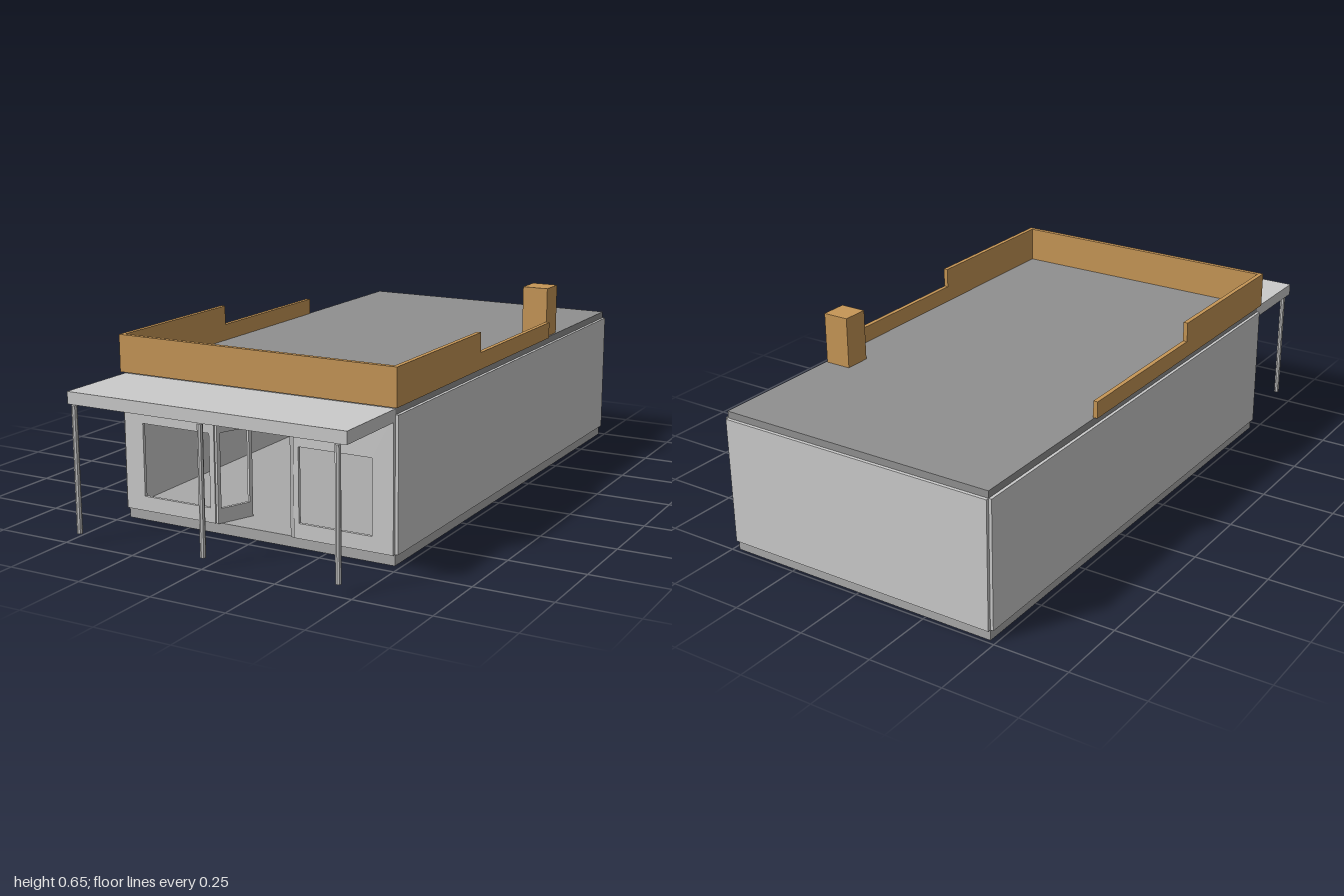
import * as THREE from 'three';

const paint = (color) => new THREE.MeshStandardMaterial({ color, flatShading: true });

export function createModel() {
  const model = new THREE.Group();
  const grey = paint(0xcccccc), roofGrey = paint(0x909090), baseGrey = paint(0xaaaaaa), tan = paint(0xc69656);

  const add = (name, geometry, material, parent = model) => {
    const mesh = new THREE.Mesh(geometry, material);
    mesh.name = name;
    parent.add(mesh);
    return mesh;
  };
  // Box given by its extents on each axis
  const box = (name, [x0, x1], [y0, y1], [z0, z1], material = grey) => {
    const mesh = add(name, new THREE.BoxGeometry(x1 - x0, y1 - y0, z1 - z0), material);
    mesh.position.set((x0 + x1) / 2, (y0 + y1) / 2, (z0 + z1) / 2);
    return mesh;
  };
  // Upright wall panel with one rectangular window, extruded along z
  const windowWall = (name, [x0, x1], [y0, y1], [u0, u1], [v0, v1], depth) => {
    const rect = (a, b, c, d) => [[a, c], [b, c], [b, d], [a, d]].map((p) => new THREE.Vector2(...p));
    const shape = new THREE.Shape(rect(x0, x1, y0, y1));
    shape.holes.push(new THREE.Path(rect(u0, u1, v0, v1).reverse()));
    return add(name, new THREE.ExtrudeGeometry(shape, { depth, bevelEnabled: false }), grey);
  };

  const wallY = [0.035, 0.457], back = -0.987, front = 0.705, t = 0.011;

  // Floor and roof slabs
  box('floorSlab', [-0.48, 0.48], [0, 0.035], [back, front], baseGrey);
  box('roofSlab', [-0.48, 0.48], [0.457, 0.48], [back, front], roofGrey);

  // Thin wall panels hung outside the slabs
  box('backWall', [-0.48, 0.48], wallY, [back - t, back]);
  for (const s of [-1, 1]) {
    const side = s < 0 ? 'right' : 'left';
    const span = (a, b) => (s > 0 ? [a, b] : [-b, -a]);
    box(side + 'Wall', span(0.48, 0.49), wallY, [back, front]);
    windowWall(side + 'ShopFront', span(0.142, 0.48), wallY, span(0.16, 0.41), [0.083, 0.322], t)
      .position.z = front;

    // Splayed display wall beside the recessed entrance
    const dx = -0.05 * s, dz = -0.12, length = Math.hypot(dx, dz);
    const splay = windowWall(side + 'EntranceWall', [0, length], wallY, [0.012, length - 0.012], [0.083, 0.325], t);
    if (s < 0) splay.geometry.translate(0, 0, -t);
    splay.rotation.y = Math.atan2(-dz, dx);
    splay.position.set(0.131 * s, 0, front + t);

    // Stepped side parapet
    box(side + 'HighParapet', span(0.475, 0.49), [0.48, 0.6], [0.145, front - 0.005], tan);
    box(side + 'LowParapet', span(0.475, 0.49), [0.48, 0.535], [-0.425, 0.145], tan);
  }
  box('doorLintel', [-0.08, 0.08], [0.322, 0.457], [0.585, 0.596]);

  // Front parapet and chimney
  box('frontParapet', [-0.49, 0.49], [0.48, 0.6], [0.7, 0.716], tan);
  box('chimney', [0.384, 0.474], [0.48, 0.65], [-0.527, -0.437], tan);

  // Canopy on slim posts
  box('canopy', [-0.48, 0.48], [0.436, 0.475], [front, 0.988]);
  for (const x of [-0.453, 0, 0.453]) {
    add('canopyPost', new THREE.CylinderGeometry(0.009, 0.009, 0.402, 8), grey).position.set(x, 0.235, 0.99);
  }
  return model;
}
